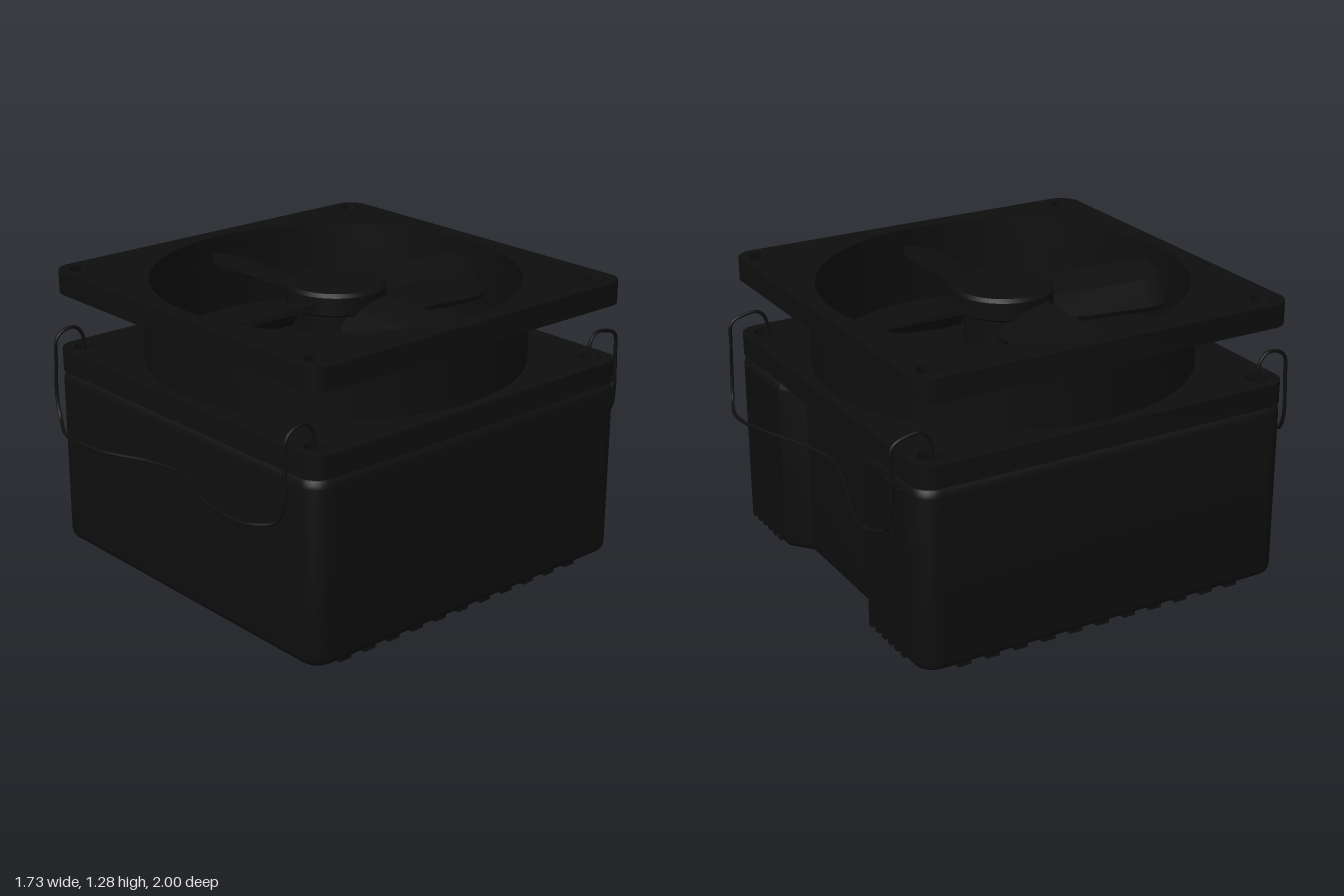
import * as THREE from 'three';
import { toCreasedNormals } from 'three/addons/utils/BufferGeometryUtils.js';

const black = new THREE.MeshStandardMaterial({ color: 0x0e0e0e });
black.name = 'matte black';
const blackThin = new THREE.MeshStandardMaterial({ color: 0x0e0e0e, side: THREE.DoubleSide });
blackThin.name = 'matte black thin';

const W = 0.865, R = 0.09;   // half width and corner radius of the square plan
const CZ = -0.01;            // plan centre along z

// Square outline; shape y points to the back
function squareOutline(recess) {
  const s = new THREE.Shape();
  s.moveTo(-W + R, -W);
  s.lineTo(W - R, -W);
  s.absarc(W - R, -W + R, R, -Math.PI / 2, 0);
  s.lineTo(W, W - R);
  s.absarc(W - R, W - R, R, 0, Math.PI / 2);
  if (recess) {
    s.lineTo(0.42, W);
    s.lineTo(0.32, W - 0.08);
    s.lineTo(-0.32, W - 0.08);
    s.lineTo(-0.42, W);
  }
  s.lineTo(-W + R, W);
  s.absarc(-W + R, W - R, R, Math.PI / 2, Math.PI);
  s.lineTo(-W, -W + R);
  s.absarc(-W + R, -W + R, R, Math.PI, Math.PI * 1.5);
  return s;
}

function slab(shape, y0, y1, bevel, segments) {
  const g = new THREE.ExtrudeGeometry(shape, {
    depth: y1 - y0 - 2 * bevel, curveSegments: 12, bevelEnabled: true,
    bevelThickness: bevel, bevelSize: bevel, bevelOffset: -bevel, bevelSegments: segments,
  });
  g.rotateX(-Math.PI / 2);
  g.translate(0, y0 + bevel, CZ);
  return toCreasedNormals(g, 0.6);
}

function addHole(shape, x, y, r) {
  const h = new THREE.Path();
  h.absarc(x, y, r, 0, Math.PI * 2, true);
  shape.holes.push(h);
}

// Fan blade along +x, lofted from hub to tip with a turned-down trailing edge
function bladeGeometry() {
  const sections = [[0.15, 0.10, 0.11], [0.23, 0.10, 0.11], [0.64, 0.10, 0.175], [0.73, 0.09, 0.165], [0.77, 0.06, 0.12]];
  const pos = [], idx = [];
  for (const [r, lead, trail] of sections) {
    const top = [[-lead, 1.21], [0, 1.2], [trail * 0.5, 1.175], [trail, 1.08]];
    const ring = [...top, ...top.map(([z, y]) => [z - 0.006, y - 0.022]).reverse()];
    for (const [z, y] of ring) pos.push(r, y, z);
  }
  const n = 8;
  for (let i = 0; i < sections.length - 1; i++)
    for (let j = 0; j < n; j++) {
      const a = i * n + j, b = i * n + (j + 1) % n;
      idx.push(a, b, a + n, b, b + n, a + n);
    }
  const e = (sections.length - 1) * n;
  for (let j = 0; j < 3; j++) {
    const a = e + j, b = e + j + 1, c = e + 6 - j, d = e + 7 - j;
    idx.push(a, b, d, b, c, d);
  }
  const g = new THREE.BufferGeometry();
  g.setAttribute('position', new THREE.Float32BufferAttribute(pos, 3));
  g.setIndex(idx);
  return toCreasedNormals(g, 0.5);
}

export function createModel() {
  const model = new THREE.Group();
  model.name = 'fanCooler';
  const add = (geo, name, parent = model, mat = black) => {
    const m = new THREE.Mesh(geo, mat);
    m.name = name;
    parent.add(m);
    return m;
  };

  // Body with a recess down the back
  add(slab(squareOutline(true), 0.035, 0.83, 0.04, 4), 'body');

  // Mounting flanges with screw holes; the upper one is open for the fan
  for (const [name, y0, y1, open] of [['lowerFlange', 0.83, 0.93, false], ['upperFlange', 1.18, 1.28, true]]) {
    const s = squareOutline(false);
    for (const x of [-0.77, 0.77]) for (const y of [-0.77, 0.77]) addHole(s, x, y, 0.05);
    if (open) {
      const h = new THREE.Path();
      h.absarc(0, 0, 0.79, 0, Math.PI * 2, true);
      s.holes.push(h);
    }
    const g = new THREE.ExtrudeGeometry(s, { depth: y1 - y0, curveSegments: open ? 32 : 12, bevelEnabled: false });
    g.rotateX(-Math.PI / 2);
    g.translate(0, y0, CZ);
    add(toCreasedNormals(g, 0.6), name);
  }

  // Round fan duct
  const duct = new THREE.LatheGeometry([[0.82, 0.93], [0.82, 1.18], [0.79, 1.18], [0.79, 0.93]]
    .map(p => new THREE.Vector2(...p)), 64);
  duct.translate(0, 0, CZ);
  add(toCreasedNormals(duct, 0.6), 'fanDuct', model, blackThin);

  // Fan: motor column, hub cap and four blades
  const fan = new THREE.Group();
  fan.name = 'fan';
  fan.position.z = CZ;
  model.add(fan);
  add(new THREE.CylinderGeometry(0.17, 0.17, 0.25, 32).translate(0, 1.045, 0), 'motorColumn', fan);
  const cap = new THREE.LatheGeometry([[0, 1.15], [0.205, 1.15], [0.215, 1.16], [0.215, 1.235], [0.2, 1.25], [0, 1.25]]
    .map(p => new THREE.Vector2(...p)), 40);
  add(toCreasedNormals(cap, 0.6), 'hubCap', fan);
  const blade = bladeGeometry();
  for (let i = 0; i < 4; i++) add(blade, 'blade', fan, blackThin).rotation.y = i * Math.PI / 2;

  // Ribs under the base
  for (let i = 0; i < 11; i++)
    add(new THREE.BoxGeometry(1.62, 0.05, 0.06).translate(0, 0.025, 0.65 - i * 0.131), 'baseRib');

  // Upright ribs on both sides of the back recess
  for (const side of [-1, 1])
    for (let i = 0; i < 6; i++)
      add(new THREE.BoxGeometry(0.026, 0.73, 0.05).translate(side * (0.45 + i * 0.0556), 0.435, -0.872), 'backRib');

  // Spring wire clips hooked into the lower flange, front and back
  const clips = [
    ['frontClip', 1, 0.92, [[0.73, 0.93], [0.62, 0.98], [0.49, 0.99], [0.35, 0.97], [0.15, 0.89], [0, 0.867]]],
    ['backClip', -1, 0.95, [[0.745, 0.96], [0.68, 0.985], [0.59, 0.995], [0.45, 0.965], [0.2, 0.875], [0, 0.83]]],
  ];
  for (const [name, dir, out, wave] of clips) {
    const half = [
      [0.765, 0.9, 0.77], [0.765, 0.99, 0.775], [0.765, 1.03, 0.81], [0.765, 1.03, 0.86],
      [0.765, 1.0, out - 0.015], [0.765, 0.9, out - 0.005], [0.765, 0.73, out],
      ...wave.map(([x, z], i) => [x, i === 0 ? 0.655 : i === 1 ? 0.625 : 0.62, z]),
    ];
    const all = [...half, ...half.slice(0, -1).reverse().map(([x, y, z]) => [-x, y, z])];
    const curve = new THREE.CatmullRomCurve3(all.map(([x, y, z]) => new THREE.Vector3(x, y, z * dir)));
    add(new THREE.TubeGeometry(curve, 160, 0.008, 8, false), name, model, blackThin);
  }

  return model;
}
